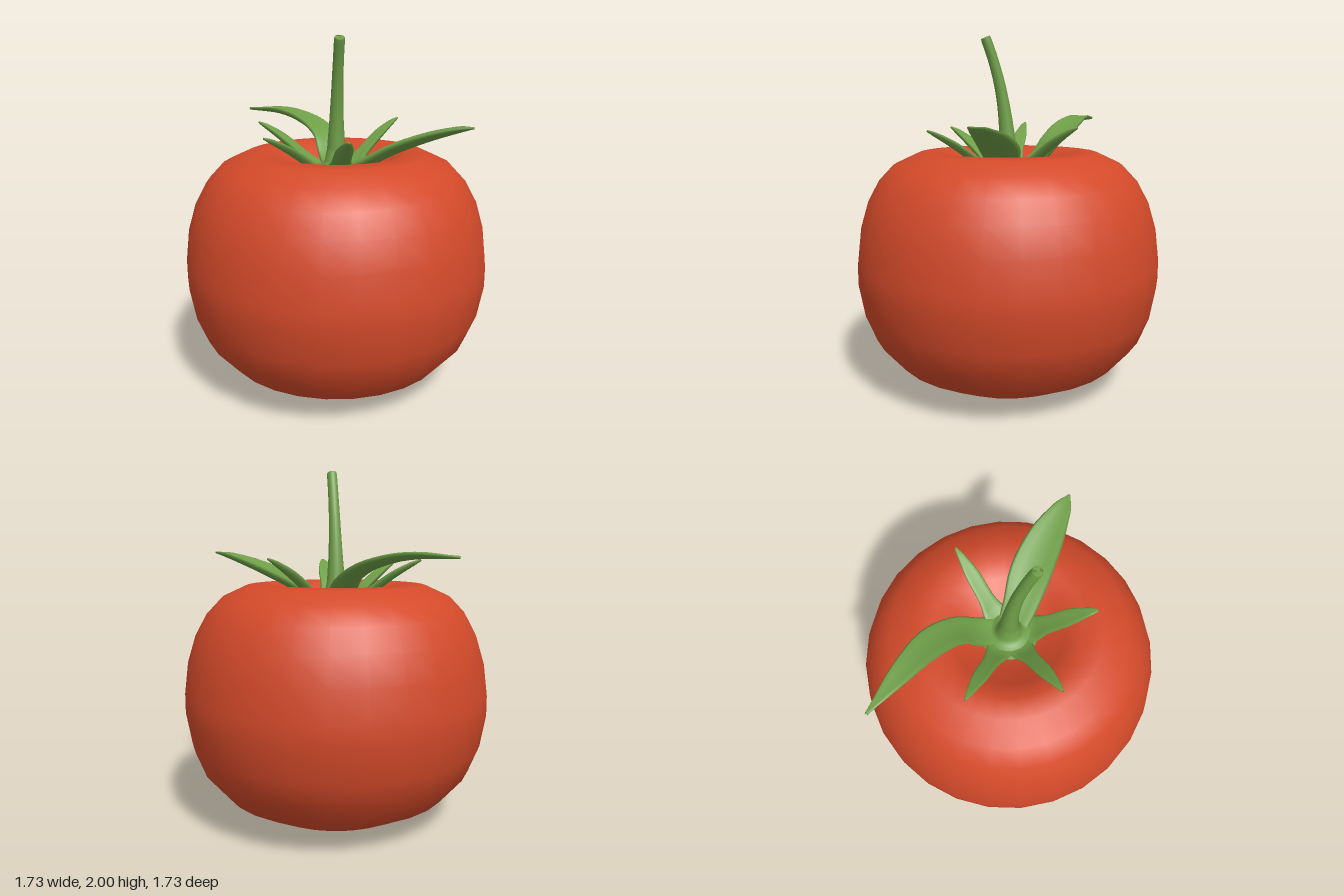
import * as THREE from 'three';

const red = new THREE.MeshStandardMaterial({ color: 0xd44a2a });
const green = new THREE.MeshStandardMaterial({ color: 0x6f9f48 });

// Smooth closed sweep; each station is [x, y, z, half width, half thickness].
// fold lifts the edges of the section into a shallow trough.
function sweep(stations, ref, fold = 0, steps = 20, sides = 12) {
  const path = new THREE.CatmullRomCurve3(stations.map(s => new THREE.Vector3(s[0], s[1], s[2])));
  const size = new THREE.CatmullRomCurve3(stations.map(s => new THREE.Vector3(s[3], s[4], 0)), false, 'catmullrom', 0.4);
  path.curveType = 'catmullrom';
  const pos = [], idx = [];
  for (let i = 0; i <= steps; i++) {
    const t = i / steps, p = path.getPoint(t), d = path.getTangent(t), s = size.getPoint(t);
    const side = d.clone().cross(ref).normalize(), up = side.clone().cross(d);
    for (let j = 0; j < sides; j++) {
      const a = j / sides * Math.PI * 2, c = Math.cos(a);
      const v = p.clone().addScaledVector(side, c * s.x)
        .addScaledVector(up, Math.sin(a) * s.y + fold * s.x * (c * c - 0.5));
      pos.push(v.x, v.y, v.z);
      if (i < steps) {
        const k = i * sides + j, n = i * sides + (j + 1) % sides;
        idx.push(k, k + sides, n, n, k + sides, n + sides);
      }
    }
  }
  // end caps
  const last = steps * sides;
  for (let j = 1; j < sides - 1; j++) idx.push(0, j, j + 1, last, last + j + 1, last + j);
  const g = new THREE.BufferGeometry();
  g.setAttribute('position', new THREE.Float32BufferAttribute(pos, 3));
  g.setIndex(idx);
  g.computeVertexNormals();
  return g;
}

function lathe(profile, segments) {
  return new THREE.LatheGeometry(profile.map(p => new THREE.Vector2(p[0], p[1])), segments);
}

export function createModel() {
  const model = new THREE.Group();
  const add = (name, geometry, material) => {
    const mesh = new THREE.Mesh(geometry, material);
    mesh.name = name;
    model.add(mesh);
  };
  const up = new THREE.Vector3(0, 1, 0);

  // fruit with a dimple in the top
  add('fruit', lathe([
    [0, 0.005], [0.18, 0.01], [0.44, 0.055], [0.65, 0.165], [0.775, 0.31], [0.835, 0.46],
    [0.867, 0.64], [0.867, 0.75], [0.845, 0.93], [0.80, 1.08], [0.735, 1.20], [0.65, 1.29],
    [0.51, 1.355], [0.40, 1.362], [0.31, 1.315], [0.21, 1.235], [0.10, 1.19], [0, 1.18],
  ], 28), red);

  // hub of the calyx, flaring up into the stem
  add('calyxHub', lathe([
    [0, 1.20], [0.09, 1.215], [0.15, 1.255], [0.16, 1.275], [0.13, 1.28],
    [0.085, 1.285], [0.065, 1.31], [0.053, 1.37], [0.04, 1.44],
  ], 24), green);

  // stem bending forward
  add('stem', sweep([
    [0, 1.24, 0, 0.06, 0.06], [0, 1.38, 0.002, 0.052, 0.052], [0, 1.55, 0.016, 0.04, 0.04],
    [0, 1.72, 0.045, 0.033, 0.033], [0, 1.87, 0.086, 0.03, 0.03],
    [0, 1.98, 0.126, 0.029, 0.029], [0, 1.988, 0.129, 0.022, 0.022],
  ], new THREE.Vector3(0, 0, 1)), green);

  // two large sepals
  add('largeLeftSepal', sweep([
    [0.02, 1.25, 0.01, 0.08, 0.025], [0.13, 1.30, 0.07, 0.095, 0.025], [0.29, 1.395, 0.145, 0.115, 0.022],
    [0.45, 1.47, 0.24, 0.10, 0.018], [0.59, 1.52, 0.335, 0.055, 0.014], [0.67, 1.535, 0.387, 0.006, 0.006],
  ], up, 0.3), green);
  add('largeBackSepal', sweep([
    [0.01, 1.25, -0.03, 0.08, 0.025], [0, 1.30, -0.16, 0.085, 0.025], [-0.03, 1.41, -0.28, 0.085, 0.024],
    [-0.12, 1.49, -0.41, 0.085, 0.022], [-0.27, 1.535, -0.55, 0.06, 0.018], [-0.465, 1.525, -0.73, 0.008, 0.008],
  ], up, 0.3), green);

  // small sepals: tip x, tip y, tip z, half width
  const small = {
    smallFrontSepal: [0, 1.485, 0.465, 0.055],
    smallRightFrontSepal: [-0.415, 1.48, 0.235, 0.045],
    smallRightBackSepal: [-0.425, 1.50, -0.25, 0.045],
    smallLeftBackSepal: [0.41, 1.51, -0.25, 0.045],
  };
  for (const [name, [x, y, z, w]] of Object.entries(small)) {
    const at = (f, h, k, t) => [x * f, 1.25 + (y - 1.25) * h, z * f, w * k, t];
    add(name, sweep([
      at(0.05, 0, 1.6, 0.025), at(0.27, 0.1, 1.5, 0.024), at(0.45, 0.36, 1, 0.02),
      at(0.68, 0.68, 0.9, 0.018), at(0.88, 0.9, 0.5, 0.014), at(1, 1, 0.15, 0.006),
    ], up, 0.35), green);
  }
  return model;
}
